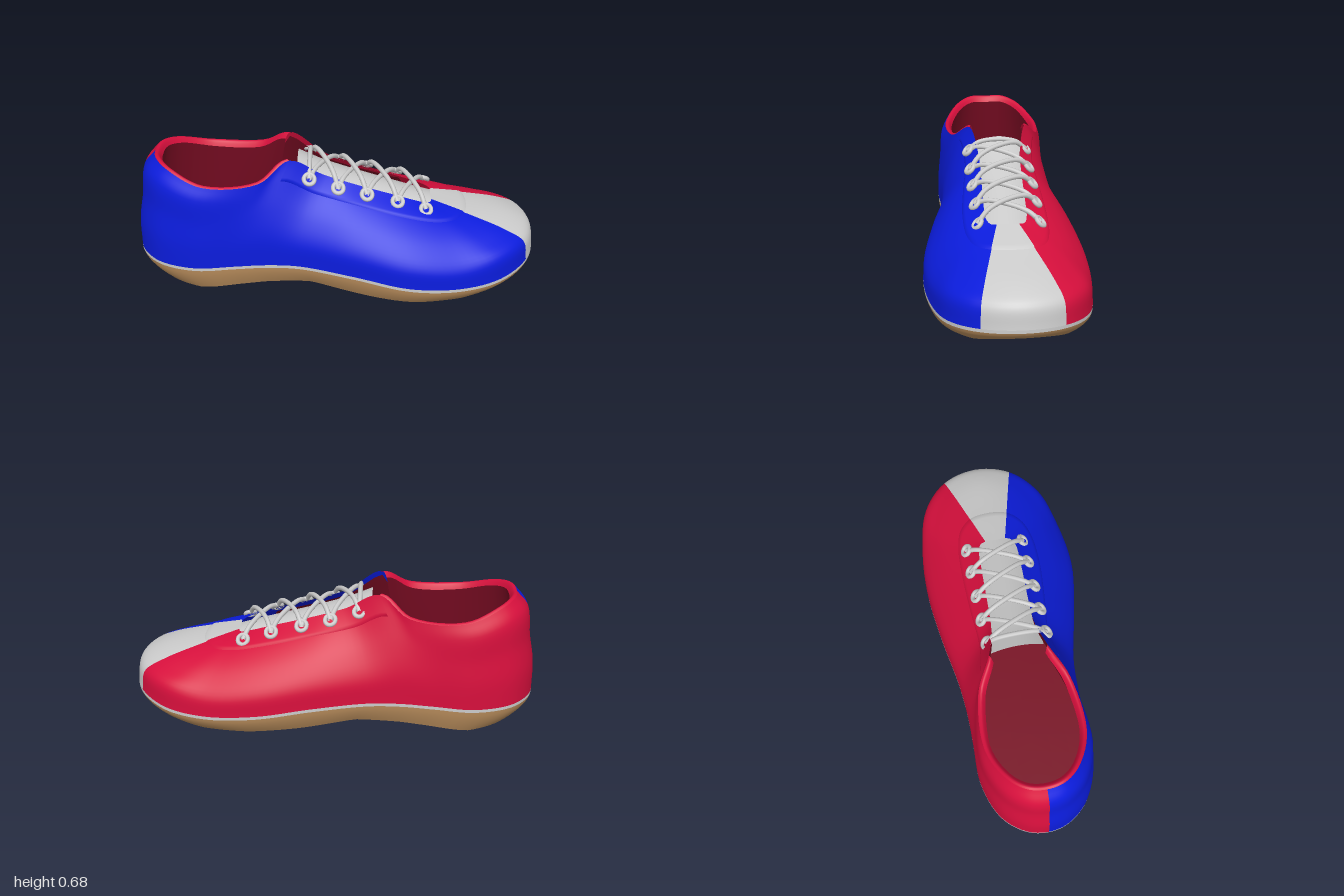
import * as THREE from 'three';

const V = (x, y, z) => new THREE.Vector3(x, y, z);
const BLUE = 0x0b1cdc, RED = 0xd60f3c, TAN = 0xb98d5c, GREY = 0xcccccc, LINING = 0x780c22;

// Piecewise linear lookup
function lin(pts, x) {
  if (x <= pts[0][0]) return pts[0][1];
  for (let i = 1; i < pts.length; i++) {
    const [a, p] = pts[i - 1], [b, q] = pts[i];
    if (x <= b) return p + (q - p) * (x - a) / (b - a);
  }
  return pts[pts.length - 1][1];
}
const centreZ = x => lin([[-1, -0.022], [-0.2, -0.022], [0.4, 0], [1, -0.02]], x);
const soleY = x => lin([[-0.92, 0.025], [-0.68, 0], [-0.35, 0.04], [-0.12, 0.06],
  [0.15, 0.025], [0.4, 0.006], [0.62, 0.008], [0.85, 0.04], [0.96, 0.085]], x);
const throatY = x => lin([[-0.2, 0.635], [-0.07, 0.575], [0.08, 0.525], [0.5, 0.4]], x);

// Half outlines from toe centre to heel centre: welt line and top edge
const WELT = [[1, 0.15, 0], [0.95, 0.14, 0.185], [0.81, 0.115, 0.315], [0.61, 0.1, 0.375], [0.36, 0.115, 0.393],
  [0.09, 0.15, 0.355], [-0.18, 0.165, 0.3], [-0.35, 0.16, 0.285], [-0.5, 0.15, 0.285], [-0.7, 0.138, 0.285],
  [-0.88, 0.135, 0.22], [-0.975, 0.135, 0.11], [-1, 0.135, 0]];
const TOP = [[0.47, 0.412, 0], [0.47, 0.412, 0.052], [0.46, 0.412, 0.078], [0.42, 0.425, 0.095], [0.29, 0.465, 0.1],
  [0.08, 0.525, 0.1], [-0.07, 0.58, 0.105], [-0.225, 0.672, 0.14], [-0.37, 0.588, 0.22], [-0.64, 0.578, 0.242],
  [-0.81, 0.632, 0.165], [-0.875, 0.652, 0.085], [-0.89, 0.648, 0]];

// Rows between the outlines: share of the way inward and upward for ray k.
// The toe is blunt, the heel bulges under its collar.
const PROFILE = [
  () => [0, 0],
  k => [0.04, k < 3 ? 0.38 : 0.29],
  k => [0.19 + 0.03 * Math.min(k, 3), 0.57],
  k => (k > 8 ? [0.47, 0.86] : [0.62, 0.81]),
  () => [1, 1],
];
const ROWS = PROFILE.map(share => {
  const pts = [];
  for (let i = 0; i < 24; i++) {
    const k = i > 12 ? 24 - i : i, side = i > 12 ? -1 : 1;
    const [inward, up] = share(k);
    const [x, y, z] = WELT[k].map((w, axis) => w + (TOP[k][axis] - w) * (axis === 1 ? up : inward));
    pts.push(V(x, y, side * z + centreZ(x)));
  }
  return new THREE.CatmullRomCurve3(pts, true);
});

// Upper surface: u runs round the shoe (24 rays), v from welt to top edge
function upper(u, v) {
  const t = (((u % 24) + 24) % 24) / 24;
  return new THREE.CatmullRomCurve3(ROWS.map(c => c.getPoint(t))).getPoint(THREE.MathUtils.clamp(v, 0, 1));
}
function raised(u, v, d) {
  const e = 0.01;
  const du = upper(u + e, v).sub(upper(u - e, v)), dv = upper(u, v + e).sub(upper(u, v - e));
  return upper(u, v).addScaledVector(dv.cross(du).normalize(), d);
}
function mesh(parent, name, geometry, color) {
  const m = new THREE.Mesh(geometry, new THREE.MeshStandardMaterial({ color, side: THREE.DoubleSide }));
  m.name = name;
  parent.add(m);
  return m;
}
// Grid over u0..u1 and v 0..1, facing out of the shoe
function grid(fn, u0, u1, nu, nv) {
  const pos = [], idx = [];
  for (let i = 0; i <= nu; i++) for (let j = 0; j <= nv; j++) {
    pos.push(...fn(u0 + (u1 - u0) * i / nu, j / nv).toArray());
    if (i < nu && j < nv) {
      const a = i * (nv + 1) + j, b = a + nv + 1;
      idx.push(a, a + 1, b, b, a + 1, b + 1);
    }
  }
  const g = new THREE.BufferGeometry();
  g.setAttribute('position', new THREE.Float32BufferAttribute(pos, 3));
  g.setIndex(idx);
  g.computeVertexNormals();
  return g;
}
const shrink = (p, kx, kz, y) => V(p.x * kx, y, centreZ(p.x) + (p.z - centreZ(p.x)) * kz);

export function createModel() {
  const shoe = new THREE.Group();
  shoe.name = 'shoe';

  // Coloured panels of the upper and the raised lace panel round the throat
  for (const [name, a, b, color] of [['leftPanel', 1, 12, BLUE], ['rightPanel', 12, 23, RED], ['toeStripe', -1, 1, GREY]])
    mesh(shoe, name, grid(upper, a, b, (b - a) * 6, 24), color);
  const lift = (u, v) => raised(u, 0.77 + 0.23 * v, v === 0 ? -0.002 : 0.006);
  for (const [name, a, b, color] of [['leftLacePanel', 1, 7, BLUE], ['rightLacePanel', 17, 23, RED], ['toeLacePanel', -1, 1, GREY]])
    mesh(shoe, name, grid(lift, a, b, (b - a) * 6, 10), color);

  // Welt strip and sole
  const WELT_H = 0.016;
  mesh(shoe, 'welt', grid((u, v) => upper(u, 0).add(V(0, WELT_H * (v - 1), 0)), 0, 24, 144, 1), GREY);
  const soleRow = (u, v) => {
    const p = upper(u, 0), k = (1 - v) ** 1.6, low = soleY(p.x * 0.925);
    return shrink(p, 1 - 0.075 * k, 1 - 0.1 * k, low + (p.y - WELT_H - low) * v);
  };
  mesh(shoe, 'soleSide', grid(soleRow, 0, 24, 144, 6), TAN);
  mesh(shoe, 'soleBottom', grid((u, v) => {
    const p = soleRow(u, 0), kx = 0.9 + 0.1 * v;
    return shrink(p, kx, v, soleY(p.x * kx));
  }, 0, 24, 144, 6), TAN);

  // Padded collar, lining and insole
  const lip = (u, d, dy) => {
    const p = upper(u, 1), dir = V(-0.5 - p.x, 0, centreZ(-0.5) - p.z).normalize();
    return p.addScaledVector(dir, d).add(V(0, dy, 0));
  };
  mesh(shoe, 'collar', grid((u, v) => lip(u, 0.035 * v, 0.01 * Math.sin(Math.PI * v) - 0.025 * v * v), 7, 17, 60, 5), RED);
  const floor = u => shrink(upper(u, 0.12), 0.95, 0.93, 0.19);
  mesh(shoe, 'lining', grid((u, v) => lip(u, 0.035, -0.025).lerp(floor(u), v), 7, 17, 60, 5), LINING);
  for (const a of [4, 17])
    mesh(shoe, 'throatLining', grid((u, v) => raised(u, 0.1 + 0.87 * v, -0.012), a, a + 3, 12, 10), LINING);
  mesh(shoe, 'insole', grid((u, v) => shrink(floor(u), 1 - 0.1 * v, 1 - v, 0.19), 0, 24, 96, 3), LINING);

  // Tongue
  mesh(shoe, 'tongue', grid((u, v) => {
    const x = 0.5 - 0.69 * v;
    return V(x, throatY(x) - 0.045 * u * u, centreZ(x) + u * 0.13);
  }, -1, 1, 14, 20), GREY);

  // Eyelet loops and criss-cross laces
  const laces = new THREE.Group();
  laces.name = 'laces';
  shoe.add(laces);
  const EYES = [[-0.13, 0.58], [0.01, 0.531], [0.15, 0.496], [0.3, 0.457], [0.44, 0.412]];
  const eye = (i, side) => V(EYES[i][0], EYES[i][1], side * 0.147 + centreZ(-0.2) * 0.5);
  const ring = new THREE.TorusGeometry(0.026, 0.011, 8, 18);
  for (const side of [1, -1]) EYES.forEach((_, i) => {
    const m = mesh(laces, 'eyeletLoop', ring, GREY);
    m.position.copy(eye(i, side));
    m.lookAt(m.position.clone().add(V(0.2, 0.75, side * 0.75)));
  });
  const lace = (a, b, h) => {
    const pts = [[0, 0], [0.18, 0.75], [0.5, 1], [0.82, 0.75], [1, 0]].map(([t, k]) =>
      a.clone().lerp(b, t).add(V(0, h * k, 0)));
    mesh(laces, 'lace', new THREE.TubeGeometry(new THREE.CatmullRomCurve3(pts), 24, 0.012, 8), GREY);
  };
  for (let i = 0; i < 4; i++) {
    lace(eye(i, 1), eye(i + 1, -1), 0.045);
    lace(eye(i, -1), eye(i + 1, 1), 0.068);
  }
  lace(eye(0, 1), eye(0, -1), 0.055);
  return shoe;
}
